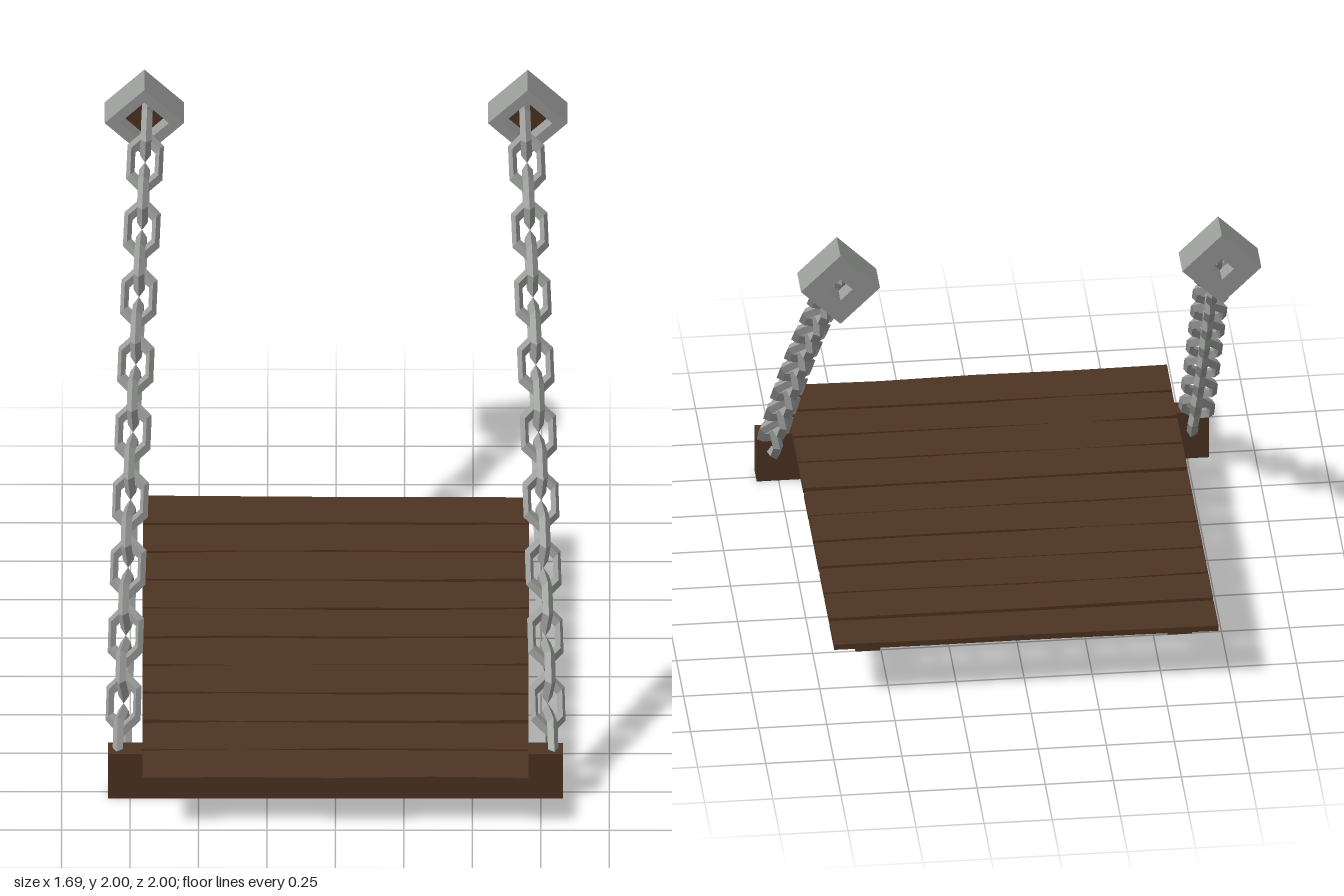
import * as THREE from 'three';

const wood = new THREE.MeshStandardMaterial({ color: 0x4d3422, flatShading: true });
wood.name = 'dark wood';
const iron = new THREE.MeshStandardMaterial({ color: 0x999b99, flatShading: true });
iron.name = 'grey iron';

function add(parent, name, geometry, material, x = 0, y = 0, z = 0) {
  const mesh = new THREE.Mesh(geometry, material);
  mesh.name = name;
  mesh.position.set(x, y, z);
  parent.add(mesh);
  return mesh;
}

function seeded(seed) {
  return () => {
    seed = (seed * 16807) % 2147483647;
    return seed / 2147483647;
  };
}

// Board whose long edges wander slightly
function plankGeometry(random) {
  const geometry = new THREE.BoxGeometry(1.41, 0.022, 0.172, 4, 1, 1);
  const edges = [-1, 1].map(() => Array.from({ length: 5 }, () => (random() - 0.5) * 0.013));
  const p = geometry.attributes.position;
  for (let i = 0; i < p.count; i++) {
    const column = Math.round((p.getX(i) / 1.41 + 0.5) * 4);
    p.setZ(i, p.getZ(i) + edges[p.getZ(i) > 0 ? 1 : 0][column]);
  }
  geometry.computeVertexNormals();
  return geometry;
}

function diamond(path, r) {
  path.moveTo(r, 0);
  path.lineTo(0, r);
  path.lineTo(-r, 0);
  path.lineTo(0, -r);
  path.closePath();
  return path;
}

// Diamond slab with a diamond hole
function diamondFrame(hole, depth) {
  const shape = diamond(new THREE.Shape(), 0.145);
  shape.holes.push(diamond(new THREE.Path(), hole));
  return new THREE.ExtrudeGeometry(shape, { depth, bevelEnabled: false });
}

export function createModel() {
  const model = new THREE.Group();
  model.name = 'drawbridge';
  const random = seeded(71);

  // Deck: ten planks on two rails, with a cross beam below
  const deck = new THREE.Group();
  deck.name = 'deck';
  model.add(deck);
  for (let i = 0; i < 10; i++) {
    add(deck, 'plank', plankGeometry(random), wood, 0, 0.222 + (random() - 0.5) * 0.005, -0.744 + i * 0.1838);
  }
  for (const side of [-1, 1]) {
    add(deck, 'rail', new THREE.BoxGeometry(0.09, 0.068, 1.68), wood, side * 0.573, 0.179, 0.1);
  }
  add(deck, 'crossBeam', new THREE.BoxGeometry(1.66, 0.196, 0.074), wood, 0, 0.098, 0.756);

  // Six-sided stretched ring, shared by all chain links
  const linkGeometry = new THREE.TorusGeometry(0.085, 0.025, 4, 6);
  linkGeometry.scale(1.15, 0.7, 0.8);
  const plateGeometry = new THREE.ShapeGeometry(diamond(new THREE.Shape(), 0.092));

  for (const side of [-1, 1]) {
    // Wall anchor: recessed block with a wooden inset
    const anchor = new THREE.Group();
    anchor.name = 'wallAnchor';
    anchor.position.set(side * 0.7, 1.855, -1);
    model.add(anchor);
    add(anchor, 'anchorBack', diamondFrame(0.045, 0.07), iron);
    add(anchor, 'anchorFrame', diamondFrame(0.09, 0.065), iron, 0, 0, 0.07);
    add(anchor, 'anchorInset', plateGeometry, wood, 0, 0, 0.074);

    // Chain: alternate links turned a quarter about the chain line
    const chain = new THREE.Group();
    chain.name = 'chain';
    model.add(chain);
    const curve = new THREE.CatmullRomCurve3([
      new THREE.Vector3(side * 0.778, 0.2, 0.69),
      new THREE.Vector3(side * 0.742, 1.0, -0.035),
      new THREE.Vector3(side * 0.692, 1.84, -0.85),
    ]);
    const count = 19;
    for (let i = 0; i < count; i++) {
      const t = i / (count - 1);
      const along = curve.getTangentAt(t);
      const up = new THREE.Vector3().crossVectors(along, new THREE.Vector3(1, 0, 0)).normalize();
      const across = new THREE.Vector3().crossVectors(along, up);
      const link = add(chain, 'chainLink', linkGeometry, iron);
      link.position.copy(curve.getPointAt(t));
      link.quaternion.setFromRotationMatrix(new THREE.Matrix4().makeBasis(along, up, across));
      link.rotateX((i % 2) * Math.PI / 2 + side * 0.3 * (1 - t));
    }
  }
  return model;
}
